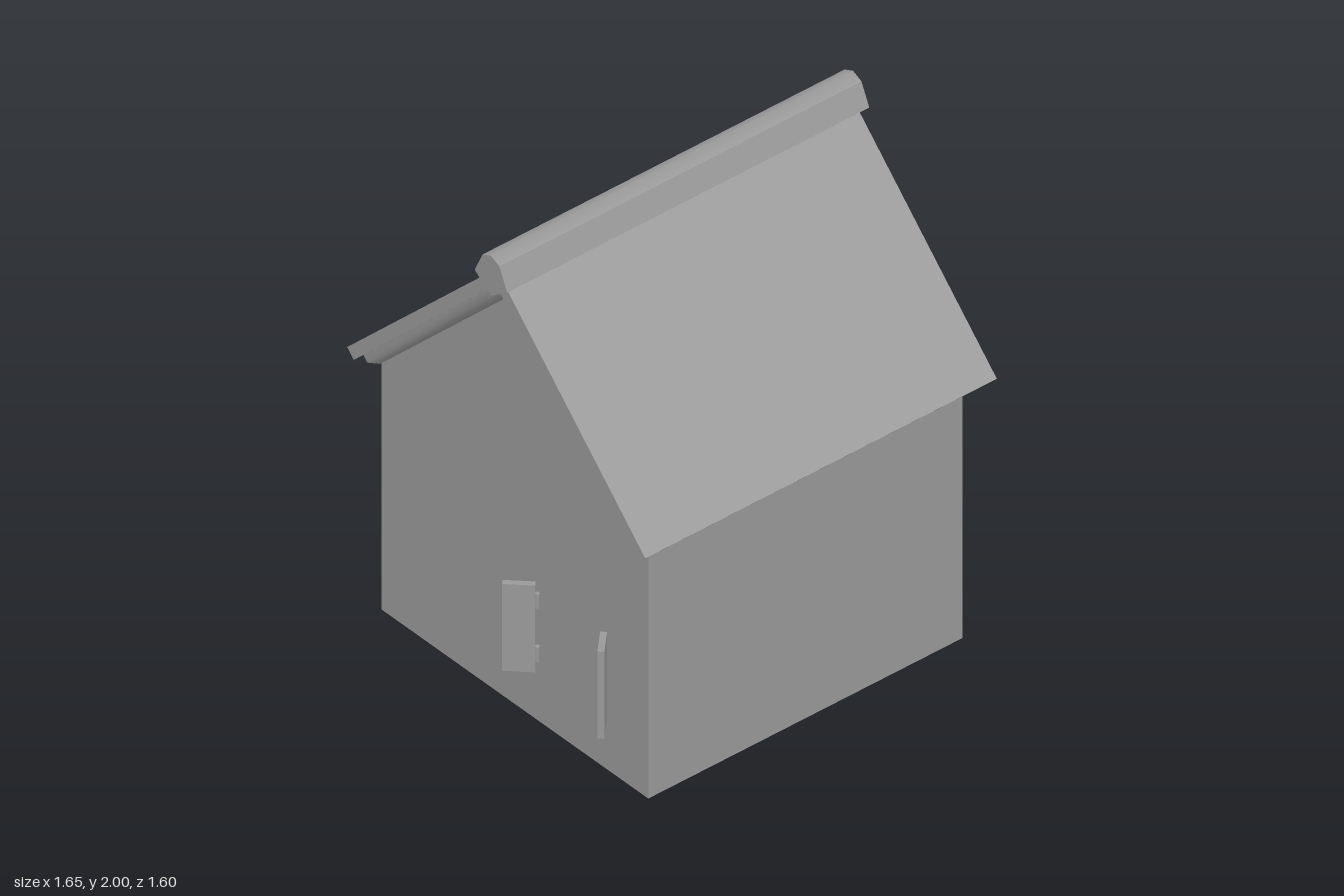
import * as THREE from 'three';
import { toCreasedNormals } from 'three/addons/utils/BufferGeometryUtils.js';

const HALF = 0.715;      // half width of the walls
const APEX = 1.932;      // where the top faces of the roof meet
const SLAB = 0.05;       // roof thickness
const SLOPE = 1.13;      // roof length from ridge to eave
const EAVE = 1.145, PEAK = 1.86;

const material = new THREE.MeshStandardMaterial({ color: 0x999999 });
const thin = new THREE.MeshStandardMaterial({ color: 0x999999, side: THREE.DoubleSide });

function add(parent, name, geometry, mat = material) {
  const mesh = new THREE.Mesh(geometry, mat);
  mesh.name = name;
  parent.add(mesh);
  return mesh;
}

const shapeOf = (points) => new THREE.Shape(points.map(([x, y]) => new THREE.Vector2(x, y)));
const extrude = (points, depth) =>
  new THREE.ExtrudeGeometry(shapeOf(points), { depth, bevelEnabled: false });

// Ridge beam with its two upper faces blended into a soft crest
function ridgeGeometry() {
  const profile = [[0, 1.827], [0.087, 1.89], [0.045, 1.98], [0, 2], [-0.045, 1.98], [-0.087, 1.89]];
  const geometry = extrude(profile, 1.648);
  const { position, normal } = geometry.attributes;
  for (let i = 0; i < position.count; i++) {
    if (position.getY(i) > 1.99 && Math.abs(normal.getZ(i)) < 0.5) normal.setXYZ(i, 0, 1, 0);
  }
  return geometry;
}

export function createModel() {
  const house = new THREE.Group();
  house.name = 'house';

  // Hollow walls, open at the bottom
  const gable = [[-HALF, 0], [HALF, 0], [HALF, EAVE], [0, PEAK], [-HALF, EAVE]];
  for (const side of [1, -1]) {
    const wall = add(house, side > 0 ? 'frontWall' : 'backWall',
      new THREE.PlaneGeometry(HALF * 2, EAVE), thin);
    wall.position.set(0, EAVE / 2, side * HALF);
    wall.rotation.y = side > 0 ? 0 : Math.PI;

    const end = add(house, side > 0 ? 'leftGable' : 'rightGable',
      new THREE.ShapeGeometry(shapeOf(gable)), thin);
    end.position.x = side * HALF;
    end.rotation.y = side * Math.PI / 2;
  }

  // Roof slopes, each with a rounded rafter under the edge on the shuttered side
  const rafterProfile = [[-0.043, 0.01], [-0.043, -0.03], [0, -0.054], [0.043, -0.03], [0.043, 0.01]];
  for (const side of [1, -1]) {
    const slope = new THREE.Group();
    slope.name = side > 0 ? 'frontSlope' : 'backSlope';
    slope.position.y = APEX;
    slope.rotation.set(Math.PI / 4, side > 0 ? 0 : Math.PI, 0, 'YXZ');
    const slab = add(slope, 'roofSlab', new THREE.BoxGeometry(1.6, SLAB, SLOPE));
    slab.position.set(0, -SLAB / 2, SLOPE / 2);
    const rafter = add(slope, 'rafter', toCreasedNormals(extrude(rafterProfile, SLOPE - 0.003), 1.2));
    rafter.position.set(-HALF * side, -SLAB, 0);
    house.add(slope);
  }

  // Ridge beam
  const ridge = add(house, 'ridgeBeam', ridgeGeometry());
  ridge.rotation.y = Math.PI / 2;
  ridge.position.x = -0.824;

  // Pair of half-open shutters, each held just off the wall by two hinges
  for (const side of [1, -1]) {
    const shutter = new THREE.Group();
    shutter.name = side > 0 ? 'frontShutter' : 'backShutter';
    shutter.position.set(-HALF, 0.415, 0.31 + side * 0.168);
    shutter.rotation.y = side > 0 ? -Math.PI / 4 : -Math.PI * 3 / 4;
    const panel = add(shutter, 'shutterPanel', new THREE.BoxGeometry(0.024, 0.377, 0.116));
    panel.position.z = 0.078;
    for (const y of [-0.115, 0.115]) {
      const hinge = add(shutter, 'hinge', new THREE.CylinderGeometry(0.009, 0.009, 0.065, 8));
      hinge.position.set(0, y, 0.014);
    }
    house.add(shutter);
  }

  return house;
}
